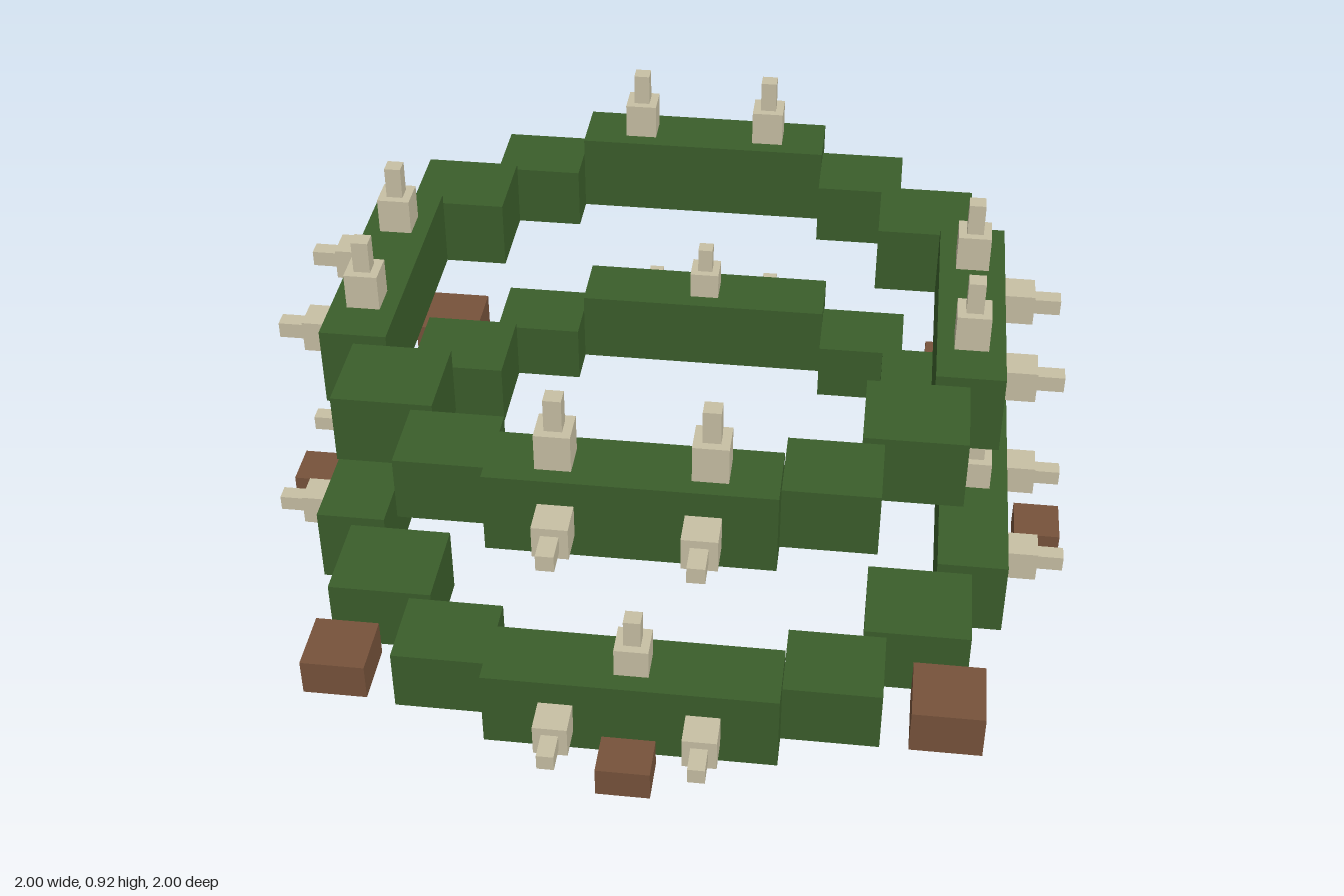
import * as THREE from 'three';

const green = new THREE.MeshStandardMaterial({ color: 0x3b5e2b, name: 'leafGreen' });
const bone = new THREE.MeshStandardMaterial({ color: 0xc8c0a4, name: 'boneBeige' });
const brown = new THREE.MeshStandardMaterial({ color: 0x77533b, name: 'earthBrown' });

// Box given by its min and max corners
function block(parent, name, material, x0, x1, y0, y1, z0, z1) {
  const mesh = new THREE.Mesh(new THREE.BoxGeometry(x1 - x0, y1 - y0, z1 - z0), material);
  mesh.position.set((x0 + x1) / 2, (y0 + y1) / 2, (z0 + z1) / 2);
  mesh.name = name;
  parent.add(mesh);
}

// Thorn pointing along +y: a wide base with a narrow tip
function thorn(base, tip) {
  const group = new THREE.Group();
  group.name = 'thorn';
  block(group, 'thornBase', bone, -0.04, 0.04, 0, base, -0.04, 0.04);
  block(group, 'thornTip', bone, -0.02, 0.02, base, base + tip, -0.02, 0.02);
  return group;
}

// Stepped ring of hedge blocks with thorns; s widens the ring
function hedgeRing(name, s, upThorns, upSize, outX) {
  const ring = new THREE.Group();
  ring.name = name;
  for (let i = 0; i < 4; i++) {
    const side = new THREE.Group();
    side.name = 'hedgeSide';
    side.rotation.y = i * Math.PI / 2;
    block(side, 'longHedge', green, -0.32 * s, 0.32 * s, 0, 0.2, 0.64 * s, 0.8 * s);
    for (const x of upThorns) {
      const up = thorn(...upSize);
      up.position.set(x, 0.2, 0.72 * s);
      side.add(up);
    }
    for (const x of [-outX, outX]) {
      const out = thorn(0.08, 0.065);
      out.rotation.x = Math.PI / 2;
      out.position.set(x, 0.097, 0.8 * s);
      side.add(out);
    }
    ring.add(side);
  }
  // Two overlapping steps in each corner
  for (const sx of [-1, 1]) for (const sz of [-1, 1]) {
    const step = (label, x0, x1, h, z0, z1) => {
      const xs = [sx * x0 * s, sx * x1 * s].sort((a, b) => a - b);
      const zs = [sz * z0 * s, sz * z1 * s].sort((a, b) => a - b);
      block(ring, label, green, xs[0], xs[1], 0, h, zs[0], zs[1]);
    };
    step('cornerHedgeLow', 0.32, 0.535, 0.16, 0.535, 0.72);
    step('cornerHedgeHigh', 0.485, 0.72, 0.175, 0.32, 0.535);
  }
  return ring;
}

export function createModel() {
  const model = new THREE.Group();
  model.name = 'thornyHedgeRings';

  model.add(hedgeRing('lowerRing', 1.07, [0], [0.075, 0.07], 0.17));
  const upper = hedgeRing('upperRing', 1, [-0.17, 0.17], [0.09, 0.08], 0.16);
  upper.position.y = 0.545;
  model.add(upper);

  // Clods of earth around the base: x0, x1, z0, z1, height
  const clods = [
    [-0.82, -0.645, -0.785, -0.605, 0.115],
    [0.64, 0.785, -0.75, -0.605, 0.085],
    [-0.8, -0.645, 0.6, 0.755, 0.095],
    [0.64, 0.81, 0.6, 0.77, 0.115],
    [-0.075, 0.04, -1, -0.9, 0.07],
    [-0.06, 0.065, 0.885, 0.99, 0.075],
    [-1, -0.895, -0.05, 0.065, 0.08],
    [0.885, 1, -0.07, 0.055, 0.07],
  ];
  for (const [x0, x1, z0, z1, h] of clods) block(model, 'earthClod', brown, x0, x1, 0, h, z0, z1);

  return model;
}
